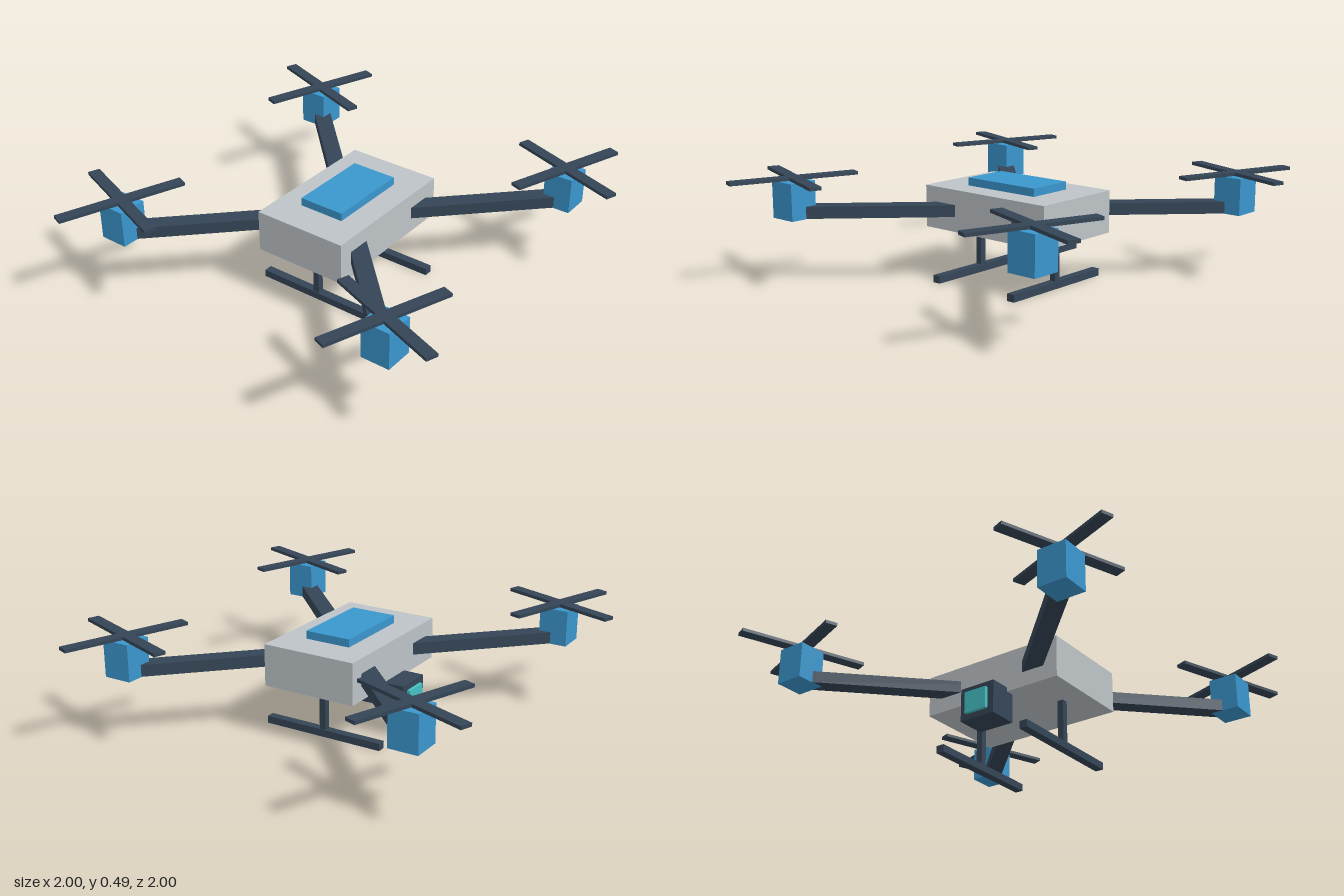
import * as THREE from 'three';

export function createModel() {
  const material = (name, color) => {
    const m = new THREE.MeshStandardMaterial({ color });
    m.name = name;
    return m;
  };
  const grey = material('shell grey', 0xbdc3c7);
  const dark = material('frame slate', 0x344556);
  const blue = material('accent blue', 0x3a96cd);
  const teal = material('lens teal', 0x45c0c4);

  const model = new THREE.Group();
  model.name = 'quadcopter';

  // Box given by its size and centre
  const box = (parent, name, mat, [w, h, d], [x, y, z], turn = 0) => {
    const mesh = new THREE.Mesh(new THREE.BoxGeometry(w, h, d), mat);
    mesh.name = name;
    mesh.position.set(x, y, z);
    mesh.rotation.y = turn;
    parent.add(mesh);
    return mesh;
  };

  // Body and top hatch
  box(model, 'body', grey, [0.71, 0.195, 0.455], [0, 0.3325, 0]);
  box(model, 'topHatch', blue, [0.394, 0.05, 0.222], [0, 0.442, 0]);

  // Arms with a motor and a two-blade cross rotor at each tip
  const reach = 0.71;
  const bladeTurn = -THREE.MathUtils.degToRad(20);
  for (const sx of [-1, 1]) {
    for (const sz of [-1, 1]) {
      const unit = new THREE.Group();
      unit.name = `${sz > 0 ? 'front' : 'back'}${sx > 0 ? 'Left' : 'Right'}Arm`;
      model.add(unit);
      const length = reach * Math.SQRT2;
      box(unit, 'arm', dark, [length, 0.055, 0.08],
        [sx * reach / 2, 0.3325, sz * reach / 2], -sx * sz * Math.PI / 4);
      box(unit, 'motor', blue, [0.135, 0.17, 0.135], [sx * reach, 0.389, sz * reach]);

      const rotor = new THREE.Group();
      rotor.name = 'rotor';
      rotor.position.set(sx * reach, 0.4865, sz * reach);
      rotor.rotation.y = bladeTurn;
      unit.add(rotor);
      box(rotor, 'blade', dark, [0.595, 0.015, 0.055], [0, 0, 0]);
      box(rotor, 'crossBlade', dark, [0.055, 0.015, 0.595], [0, 0, 0]);
      box(rotor, 'rotorShaft', dark, [0.03, 0.02, 0.03], [0, -0.01, 0]);
    }
  }

  // Landing gear: one post and one skid per side
  for (const sx of [-1, 1]) {
    box(model, 'landingPost', dark, [0.03, 0.22, 0.03], [sx * 0.227, 0.14, 0]);
    box(model, 'landingSkid', dark, [0.04, 0.034, 0.594], [sx * 0.227, 0.017, 0]);
  }

  // Camera under the rear edge
  box(model, 'camera', dark, [0.178, 0.155, 0.14], [0, 0.177, -0.256]);
  box(model, 'cameraLens', teal, [0.114, 0.1, 0.02], [0, 0.177, -0.332]);

  return model;
}
